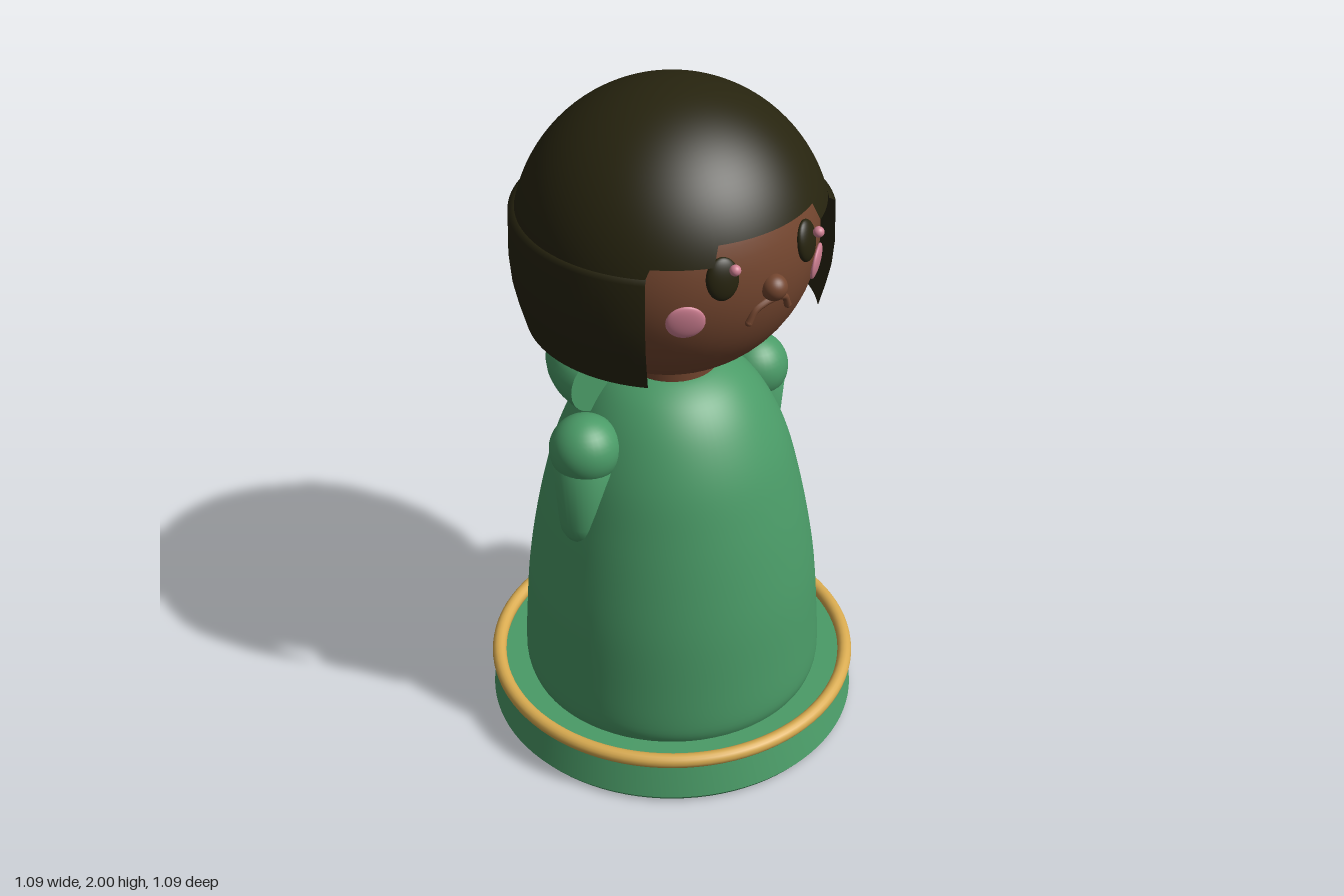
import * as THREE from 'three';
import { toCreasedNormals } from 'three/addons/utils/BufferGeometryUtils.js';

const mat = (name, color, side = THREE.FrontSide) => {
  const m = new THREE.MeshStandardMaterial({ color, side });
  m.name = name;
  return m;
};

export function createModel() {
  const root = new THREE.Group();
  root.name = 'doll';
  const green = mat('green cloth', 0x4a9b67);
  const gold = mat('gold trim', 0xd9ab50);
  const skin = mat('brown skin', 0x74462f);
  const hair = mat('dark hair', 0x27240f, THREE.DoubleSide);
  const pink = mat('pink blush', 0xd08093);

  const add = (name, geo, material, x = 0, y = 0, z = 0, parent = root) => {
    const m = new THREE.Mesh(geo, material);
    m.name = name;
    m.position.set(x, y, z);
    parent.add(m);
    return m;
  };
  const vec = (pts) => pts.map(([x, y]) => new THREE.Vector2(x, y));
  const ball = (r) => new THREE.SphereGeometry(r, 32, 20);

  // Pedestal and its trim ring
  const baseGeo = new THREE.LatheGeometry(
    vec([[0, 0], [0.535, 0], [0.546, 0.015], [0.515, 0.125], [0, 0.125]]), 96);
  add('pedestal', toCreasedNormals(baseGeo, 0.5), green);
  add('trimRing', new THREE.TorusGeometry(0.526, 0.021, 16, 96).rotateX(Math.PI / 2), gold, 0, 0.14);

  // Robe: bell profile smoothed through a few points
  const bell = new THREE.SplineCurve(vec([
    [0.43, 0.12], [0.441, 0.17], [0.435, 0.3], [0.422, 0.47], [0.4, 0.62], [0.37, 0.77],
    [0.33, 0.92], [0.275, 1.04], [0.215, 1.12], [0.15, 1.165], [0.09, 1.18], [0, 1.18],
  ]));
  add('robe', new THREE.LatheGeometry(bell.getPoints(60), 72), green);

  // Arms: shoulder ball and a tapered sleeve with a rounded tip
  const sleeve = [[0, -0.3], [0.025, -0.296], [0.046, -0.283], [0.059, -0.262], [0.065, -0.235], [0.09, -0.04], [0, 0]];
  for (const [side, s] of [['left', 1], ['right', -1]]) {
    const arm = new THREE.Group();
    arm.name = side + 'Arm';
    arm.position.set(0.32 * s, 1.01, 0);
    add(side + 'Shoulder', ball(0.1), green, 0, 0, 0, arm);
    const m = add(side + 'Sleeve', new THREE.LatheGeometry(vec(sleeve), 32), green, 0, 0, 0, arm);
    m.rotation.z = 0.07 * s;
    root.add(arm);
  }

  // Hood: half ring behind the neck with flat ends
  const hood = new THREE.Group();
  hood.name = 'hood';
  hood.position.set(0, 1.155, -0.06);
  add('hoodRoll', new THREE.TorusGeometry(0.23, 0.085, 24, 48, Math.PI).rotateX(-Math.PI / 2), green, 0, 0, 0, hood);
  for (const s of [-1, 1]) add('hoodEnd', new THREE.CircleGeometry(0.085, 24), green, 0.23 * s, 0, 0, hood);
  root.add(hood);

  // Neck and head
  add('neck', new THREE.CylinderGeometry(0.13, 0.13, 0.1, 40), skin, 0, 1.21);
  const R = 0.388, WIDE = 1.05, CY = 1.578;
  add('head', new THREE.SphereGeometry(R, 56, 36), skin, 0, CY).scale.x = WIDE;

  // Place a flattened ellipsoid on the face, turned to follow its surface
  const onFace = (name, x, y, rx, ry, depth, material, tilt = 0) => {
    const z = Math.sqrt(R * R - (x / WIDE) ** 2 - (y - CY) ** 2);
    const m = add(name, ball(1), material, x, y, z);
    m.lookAt(x + x / WIDE ** 2, y + y - CY, 2 * z);
    m.rotateZ(tilt);
    m.scale.set(rx, ry, depth);
  };
  for (const [side, s] of [['left', 1], ['right', -1]]) {
    onFace(side + 'Eye', 0.148 * s, 1.638, 0.045, 0.059, 0.02, hair);
    onFace(side + 'Cheek', 0.234 * s, 1.525, 0.052, 0.05, 0.012, pink);
    onFace(side + 'Brow', 0.147 * s, 1.741, 0.053, 0.014, 0.022, hair, 0.08 * s);
    add(side + 'EyeGlint', ball(0.015), pink, 0.148 * s + 0.018, 1.668, 0.384);
  }
  add('nose', ball(0.036), skin, 0, 1.572, 0.393);
  const frown = new THREE.CatmullRomCurve3([-1, -0.75, -0.4, 0, 0.4, 0.75, 1].map((t) =>
    new THREE.Vector3(0.07 * t, 1.485 + 0.05 * Math.sqrt(1 - t * t), 0.387 - 0.012 * t * t)));
  add('mouth', new THREE.TubeGeometry(frown, 32, 0.01, 10), skin);
  for (const s of [-1, 1]) add('mouthEnd', ball(0.01), skin, 0.07 * s, 1.485, 0.375);

  // Hair cap: sphere whose lower edge steps around the fringe
  const HR = 0.43, HY = 1.57, rows = 24, cols = 160;
  const edge = (a) => (a < 0.46 ? 1.742 : a < 0.88 ? 1.69 : 1.65);
  const cap = new THREE.LatheGeometry(
    Array.from({ length: rows + 1 }, (_, i) => new THREE.Vector2(1, i)), cols);
  const p = cap.attributes.position, n = cap.attributes.normal, v = new THREE.Vector3();
  for (let k = 0; k < p.count; k++) {
    const col = Math.floor(k / (rows + 1)), row = k % (rows + 1);
    const a = (col / cols) * Math.PI * 2;
    const theta = Math.acos((edge(Math.min(a, Math.PI * 2 - a)) - HY) / HR) * (1 - row / rows);
    v.setFromSphericalCoords(1, theta, a);
    n.setXYZ(k, v.x, v.y, v.z);
    p.setXYZ(k, v.x * HR, v.y * HR, v.z * HR);
  }
  add('hairCap', cap, hair, 0, HY);

  // Bob: open band around sides and back, leaving the face free
  const gap = 0.885;
  const bob = new THREE.LatheGeometry(
    vec([[0.402, 1.33], [0.421, 1.4], [0.434, 1.46], [0.44, 1.53], [0.437, 1.655], [0.419, 1.664]]),
    72, gap, Math.PI * 2 - 2 * gap);
  add('hairBob', bob, hair);

  return root;
}
